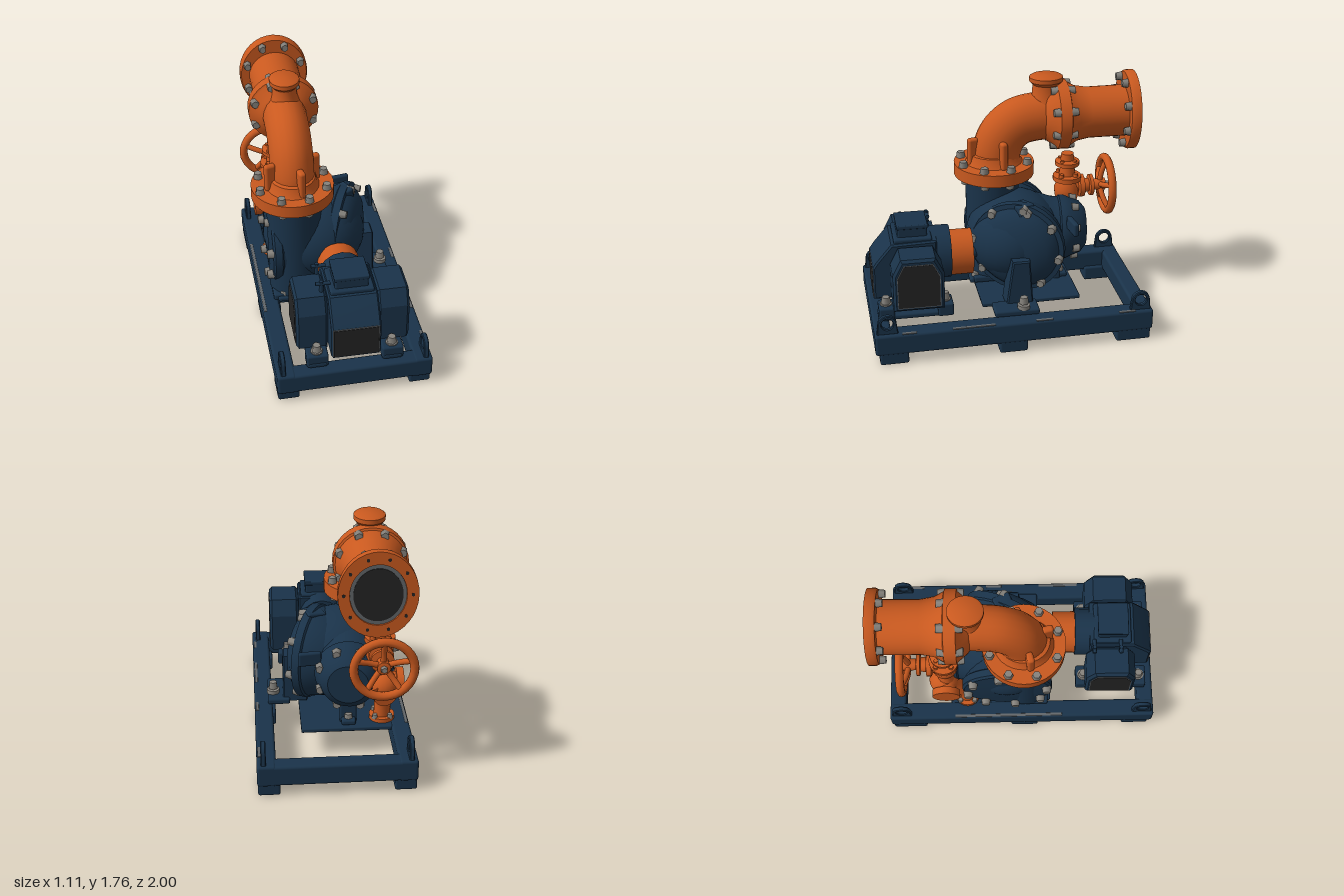
import * as THREE from 'three';
import { toCreasedNormals } from 'three/addons/utils/BufferGeometryUtils.js';
import { RoundedBoxGeometry } from 'three/addons/geometries/RoundedBoxGeometry.js';

const material = (name, color, side = THREE.FrontSide) => {
  const m = new THREE.MeshStandardMaterial({ color, side });
  m.name = name;
  return m;
};
const navy = material('navy paint', 0x1a334a);
const orange = material('orange paint', 0xc9591f, THREE.DoubleSide);
const steel = material('bolt steel', 0x86837d);
const black = material('vent black', 0x242424);
const wear = material('bare edge grey', 0x63676a);
const UP = new THREE.Vector3(0, 1, 0);

function add(parent, name, geo, mat, pos = [0, 0, 0]) {
  const m = new THREE.Mesh(geo, mat);
  m.name = name;
  m.position.set(...pos);
  parent.add(m);
  return m;
}
// Group whose local y axis points along dir
function axis(parent, name, pos, dir = [0, 1, 0]) {
  const g = new THREE.Group();
  g.name = name;
  g.position.set(...pos);
  g.quaternion.setFromUnitVectors(UP, new THREE.Vector3(...dir).normalize());
  parent.add(g);
  return g;
}
const box = (w, h, d, r = 0.015) => new RoundedBoxGeometry(w, h, d, 2, r);
const cyl = (r0, r1, h, n = 24) => new THREE.CylinderGeometry(r0, r1, h, n);
const lathe = (pts, n = 32) =>
  toCreasedNormals(new THREE.LatheGeometry(pts.map(p => new THREE.Vector2(...p)), n), 0.6);
// Profile given in (z, y), given thickness along x
function slab(shape, width, bevel = 0.01) {
  const g = new THREE.ExtrudeGeometry(shape, {
    depth: width - 2 * bevel, bevelEnabled: bevel > 0, bevelSize: bevel, bevelOffset: -bevel,
    bevelThickness: bevel, bevelSegments: 1, curveSegments: 16 });
  g.translate(0, 0, -width / 2 + bevel);
  g.rotateY(-Math.PI / 2);
  return toCreasedNormals(g, 0.4);
}
const poly = pts => new THREE.Shape(pts.map(p => new THREE.Vector2(...p)));
function bolt(parent, pos, dir = [0, 1, 0], r = 0.035, mat = steel) {
  const g = axis(parent, 'bolt', pos, dir);
  add(g, 'boltHead', cyl(r * 0.8, r, r * 1.4, 6), mat, [0, r * 0.5, 0]);
}
function boltRing(parent, n, r, y, down = false, offset = 0, size = 0.035, mat = steel) {
  for (let i = 0; i < n; i++) {
    const a = offset + i / n * Math.PI * 2;
    bolt(parent, [r * Math.sin(a), y, r * Math.cos(a)], [0, down ? -1 : 1, 0.001], size, mat);
  }
}
const tube = (pts, r, n = 24) =>
  new THREE.TubeGeometry(new THREE.CatmullRomCurve3(pts.map(p => new THREE.Vector3(...p))), n, r, 20);

function buildFrame(root) {
  const f = axis(root, 'baseFrame', [0, 0, 0]);
  f.rotation.y = 0.014;
  for (const s of [-1, 1]) {
    add(f, 'sideRail', box(0.13, 0.157, 1.98, 0.02), navy, [s * 0.475, 0.157, 0]);
    add(f, 'endRail', box(0.98, 0.15, 0.12, 0.02), navy, [0, 0.157, s * 0.93]);
    for (const z of [0.86, 0.02, -0.85])
      add(f, 'foot', box(0.15, 0.11, z < -0.5 ? 0.25 : 0.2), navy, [s * 0.46, 0.055, z]);
    // Lifting eyes at the corners
    for (const z of [-0.9, 0.9]) {
      const lug = new THREE.Shape();
      lug.moveTo(-0.075, 0); lug.lineTo(0.075, 0); lug.lineTo(0.065, 0.08);
      lug.absarc(0, 0.08, 0.065, 0, Math.PI, false);
      const hole = new THREE.Path();
      hole.absarc(0, 0.08, 0.04, 0, Math.PI * 2, true);
      lug.holes.push(hole);
      add(f, 'liftingEye', slab(lug, 0.035, 0.006), navy, [s * 0.495, 0.23, z]);
    }
    // Worn paint along the top edges
    for (const [z, len] of s < 0 ? [[-0.1, 0.8]] : [[0.75, 0.1], [0.3, 0.3], [-0.2, 0.12], [-0.8, 0.12]])
      add(f, 'wornEdge', box(0.022, 0.008, len, 0.003), wear, [s * 0.521, 0.234, z]);
  }
  add(f, 'pumpPlate', box(0.68, 0.03, 0.72, 0.008), navy, [-0.12, 0.215, -0.17]);
}

function buildMotor(root) {
  const m = axis(root, 'motor', [0.02, 0, 0]);
  const core = poly([[0.955, 0.325], [0.955, 0.57], [0.92, 0.62], [0.82, 0.74], [0.5, 0.75], [0.5, 0.36], [0.8, 0.325]]);
  add(m, 'motorCore', slab(core, 0.34, 0.012), navy);
  const arch = k => poly([[-0.178, -0.2], [-0.178, 0.08], [-0.12, 0.195], [0.12, 0.195], [0.178, 0.08], [0.178, -0.2]]
    .map(([z, y]) => [z * k, y * k]));
  for (const s of [-1, 1]) {
    add(m, 'sideDuct', slab(arch(1), 0.22, 0.018), navy, [s * 0.28, 0.53, 0.655]);
    add(m, 'ventEdge', slab(arch(0.84), 0.006, 0), wear, [s * 0.39, 0.525, 0.655]);
    add(m, 'sideVent', slab(arch(0.815), 0.009, 0), black, [s * 0.39, 0.525, 0.655]);
    add(m, 'skidBar', box(0.13, 0.04, 0.52), navy, [s * 0.26, 0.255, 0.68]);
    for (const z of [0.465, 0.88]) {
      add(m, 'mountPad', box(0.15, 0.1, 0.11), navy, [s * 0.26, 0.285, z]);
      add(m, 'washer', cyl(0.042, 0.042, 0.012, 16), steel, [s * 0.26, 0.338, z]);
      bolt(m, [s * 0.26, 0.35, z]);
    }
    add(m, 'padWeb', box(0.1, 0.3, 0.3), navy, [s * 0.22, 0.43, 0.66]);
  }
  add(m, 'frontVentEdge', box(0.32, 0.236, 0.006, 0.002), wear, [0, 0.453, 0.955]);
  add(m, 'frontVent', box(0.308, 0.23, 0.009, 0.003), black, [0, 0.449, 0.956]);
  add(m, 'motorBelly', box(0.33, 0.04, 0.3), black, [0, 0.335, 0.66]);
  // End bell toward the coupling
  const bell = axis(m, 'endBell', [0, 0.58, 0.47], [0, 0, -1]);
  add(bell, 'endBellShell', cyl(0.195, 0.195, 0.15, 16), navy).scale.x = 0.88;
  add(m, 'terminalBox', box(0.23, 0.15, 0.21), navy, [0, 0.78, 0.665]);
  add(m, 'terminalLid', box(0.24, 0.03, 0.22, 0.008), navy, [0, 0.843, 0.665]);
  add(m, 'terminalBase', box(0.3, 0.04, 0.27), navy, [0, 0.75, 0.665]);
  for (const z of [0.53, 0.72]) {
    add(m, 'smallPost', cyl(0.014, 0.014, 0.18, 10), navy, [-0.2, 0.72, z]);
    const bar = axis(m, 'postBar', [-0.19, 0.79, z], [1, 0, 0]);
    add(bar, 'postBarRod', cyl(0.014, 0.014, 0.1, 10), navy);
  }
  // Coupling guard
  const guard = axis(m, 'couplingGuard', [0, 0.565, 0.315], [0, 0, -1]);
  add(guard, 'guardShell', cyl(0.168, 0.168, 0.16, 20), orange).scale.x = 0.9;
  add(guard, 'shaft', cyl(0.05, 0.05, 0.45), navy, [0, 0.05, 0]);
}

function buildPump(root) {
  const p = axis(root, 'pump', [0, 0, 0]);
  add(p, 'casing', new THREE.SphereGeometry(1, 32, 24), navy, [-0.1, 0.62, -0.1]).scale.set(0.37, 0.33, 0.35);
  add(p, 'neck', cyl(0.195, 0.19, 0.78, 28), navy, [-0.26, 0.66, 0.035]);
  add(p, 'neckFoot', box(0.36, 0.05, 0.2), navy, [-0.26, 0.26, 0.1]);
  // Tilted domed cover on the left
  const cover = axis(p, 'domedCover', [0.115, 0.62, -0.09], [0.91, 0, 0.41]);
  add(cover, 'coverDome', lathe([[0, -0.3], [0.2, -0.28], [0.3, -0.15], [0.325, -0.04], [0.34, -0.03], [0.34, 0.025],
    [0.305, 0.03], [0.285, 0.06], [0.23, 0.1], [0.13, 0.13], [0, 0.14]]), navy);
  boltRing(cover, 8, 0.31, 0.03, false, 0.2);
  add(p, 'coverLug', box(0.14, 0.13, 0.13), navy, [0.11, 0.885, -0.12]).rotation.set(0, 0.42, 0.12);
  bolt(p, [0.17, 0.9, -0.15], [1, 0.1, 0.4]);
  // Flat cover on the right
  const flat = axis(p, 'flatCover', [-0.36, 0.6, -0.1], [-1, 0, 0]);
  add(flat, 'flatCoverDisc', lathe([[0, -0.2], [0.3, -0.2], [0.31, 0], [0.325, 0.01], [0.325, 0.06], [0.31, 0.075], [0.16, 0.085], [0, 0.09]]), navy);
  boltRing(flat, 8, 0.29, 0.075, false, 0.2);
  // Rear cover
  const rear = axis(p, 'rearCover', [-0.13, 0.63, -0.36], [0.1, 0, -1]);
  add(rear, 'rearCoverDome', lathe([[0, -0.1], [0.27, -0.1], [0.23, 0.02], [0.225, 0.07], [0.235, 0.08], [0.235, 0.12],
    [0.22, 0.15], [0.19, 0.23], [0.14, 0.27], [0, 0.27]]), navy);
  boltRing(rear, 8, 0.21, 0.17, false, 0.3);
  add(p, 'rearLug', box(0.16, 0.1, 0.04), navy, [0.15, 0.76, -0.48]).rotation.y = 0.15;
  // Side foot resting on the rail
  const web = poly([[0.03, 0.25], [-0.015, 0.6], [-0.14, 0.6], [-0.165, 0.25]]);
  add(p, 'sideFootWeb', slab(web, 0.18), navy, [0.24, 0, 0]);
  add(p, 'sideFootPlate', box(0.16, 0.045, 0.32), navy, [0.36, 0.255, -0.03]);
  add(p, 'washer', cyl(0.045, 0.045, 0.03, 16), steel, [0.4, 0.29, -0.08]);
  bolt(p, [0.4, 0.32, -0.08]);
  for (const [x, z] of [[-0.36, 0.17], [-0.14, 0.18], [-0.12, -0.45]]) {
    add(p, 'footPlate', box(0.1, 0.04, 0.1), navy, [x, 0.25, z]);
    bolt(p, [x, 0.26, z]);
  }
  add(p, 'rearFootWeb', box(0.12, 0.3, 0.05), navy, [-0.12, 0.37, -0.42]);
}

function buildDischarge(root) {
  const d = axis(root, 'dischargePipe', [-0.26, 0, 0]);
  // Lower flange with four ribs
  const low = axis(d, 'lowerFlange', [-0.005, 1.045, 0.02]);
  add(low, 'lowerFlangeDisc', cyl(0.29, 0.29, 0.09, 36), orange, [0, 0.045, 0]);
  add(low, 'collar', lathe([[0.215, 0.08], [0.195, 0.11], [0.18, 0.16], [0.15, 0.17]]), orange).scale.x = 0.9;
  boltRing(low, 8, 0.25, 0.09, false, 0.35);
  boltRing(low, 8, 0.235, 0, true, 0.35);
  for (let i = 0; i < 4; i++) {
    const rib = axis(low, 'ribMount', [0, 0, 0]);
    rib.rotation.y = 0.25 + i * Math.PI / 2;
    add(rib, 'rib', box(0.05, 0.21, 0.08, 0.02), orange, [0, 0.185, 0.165]);
  }
  // Swept elbow, slightly narrow from side to side
  add(d, 'elbow', tube([[0, 1.1, 0], [0, 1.22, 0], [0, 1.34, -0.05], [0, 1.425, -0.15], [0, 1.455, -0.28], [0, 1.46, -0.46]], 0.176, 40), orange).scale.x = 0.87;
  // Joint flange and straight outlet
  const out = axis(d, 'outlet', [0.005, 1.465, -0.4], [0, 0, -1]);
  add(out, 'outletPipe', lathe([[0.15, -0.07], [0.18, -0.05], [0.235, 0.015], [0.25, 0.02], [0.25, 0.1], [0.235, 0.105],
    [0.2, 0.17], [0.184, 0.26], [0.185, 0.55]]), orange);
  boltRing(out, 8, 0.22, 0.015, true, 0.39);
  boltRing(out, 8, 0.22, 0.105, false, 0.39);
  const end = axis(d, 'endFlange', [0.005, 1.47, -0.93], [0, 0, -1]);
  end.scale.x = 0.87;
  add(end, 'endFlangeRing', lathe([[0, 0], [0.28, 0], [0.29, 0.02], [0.29, 0.07], [0.205, 0.07], [0.2, 0.03]], 36), orange);
  add(end, 'outletLining', cyl(0.203, 0.203, 0.008, 36), wear, [0, 0.058, 0]);
  add(end, 'outletMouth', cyl(0.178, 0.178, 0.008, 36), black, [0, 0.062, 0]);
  boltRing(end, 8, 0.245, 0, true, 0.39);
  for (let i = 0; i < 10; i++)
    add(end, 'boltHole', cyl(0.012, 0.012, 0.006, 10), black,
      [0.247 * Math.cos(i * 0.628), 0.069, 0.247 * Math.sin(i * 0.628)]);
  // Filler cap on top
  add(d, 'fillerCap', lathe([[0.13, 1.56], [0.1, 1.63], [0.095, 1.7], [0.12, 1.725], [0.12, 1.755], [0.105, 1.765], [0, 1.765]]),
    orange, [0.005, 0, -0.355]).scale.x = 0.88;
}

function buildValve(root) {
  const v = axis(root, 'valve', [-0.32, 0, -0.54]);
  add(v, 'valveStack', lathe([[0, 0.7], [0.07, 0.72], [0.08, 0.77], [0.09, 0.8], [0.095, 0.86], [0.07, 0.91], [0.105, 0.92],
    [0.105, 0.955], [0.06, 0.96], [0.05, 1.03], [0.09, 1.04], [0.09, 1.07], [0.05, 1.08], [0.045, 1.13], [0, 1.13]], 24), orange);
  boltRing(v, 4, 0.075, 0.955, false, 0.78, 0.022, orange);
  boltRing(v, 4, 0.065, 1.065, false, 0.78, 0.018, orange);
  // Bonnet and handwheel
  const b = axis(v, 'bonnet', [0, 0.86, 0], [0, 0, -1]);
  add(b, 'bonnetBody', lathe([[0.07, 0], [0.06, 0.08], [0.085, 0.09], [0.085, 0.125], [0.055, 0.13], [0.05, 0.165],
    [0.08, 0.17], [0.08, 0.195], [0.04, 0.2], [0.045, 0.29], [0, 0.3]], 20), orange);
  add(b, 'wheelNut', cyl(0.02, 0.028, 0.04, 6), steel, [0, 0.3, 0]);
  const rim = add(b, 'wheelRim', new THREE.TorusGeometry(0.2, 0.03, 10, 32), orange, [0, 0.3, 0]);
  rim.rotation.x = Math.PI / 2;
  for (let i = 0; i < 5; i++) {
    const a = i * Math.PI * 0.4;
    add(b, 'wheelSpoke', tube([[0, 0.25, 0], [0.1 * Math.sin(a), 0.265, 0.1 * Math.cos(a)], [0.195 * Math.sin(a), 0.3, 0.195 * Math.cos(a)]], 0.02, 8), orange);
  }
  // Lower body and drain leg
  add(v, 'drainLeg', tube([[0, 0.78, 0], [-0.03, 0.66, 0], [-0.05, 0.56, 0.03], [-0.045, 0.42, 0.12], [-0.04, 0.24, 0.14]], 0.058), orange);
  add(v, 'lowerBall', new THREE.SphereGeometry(0.105, 20, 16), orange, [-0.03, 0.59, -0.02]);
  const side = axis(v, 'sideFlange', [-0.12, 0.6, 0], [-1, 0, 0]);
  add(side, 'sideFlangeDisc', cyl(0.1, 0.1, 0.05), orange, [0, 0.02, 0]);
  add(side, 'sideFlangeNeck', cyl(0.07, 0.07, 0.1), orange, [0, -0.04, 0]);
  const back = axis(v, 'rearPort', [-0.03, 0.55, -0.06], [-0.2, 0, -1]);
  add(back, 'rearPortDisc', cyl(0.085, 0.09, 0.08), orange);
  add(v, 'legFlange', cyl(0.09, 0.09, 0.03), orange, [-0.04, 0.25, 0.14]);
  boltRing(axis(v, 'legBolts', [-0.04, 0.262, 0.14]), 4, 0.075, 0, false, 0.78, 0.022);
}

export function createModel() {
  const root = new THREE.Group();
  root.name = 'pumpUnit';
  [buildFrame, buildMotor, buildPump, buildDischarge, buildValve].forEach(build => build(root));
  return root;
}
